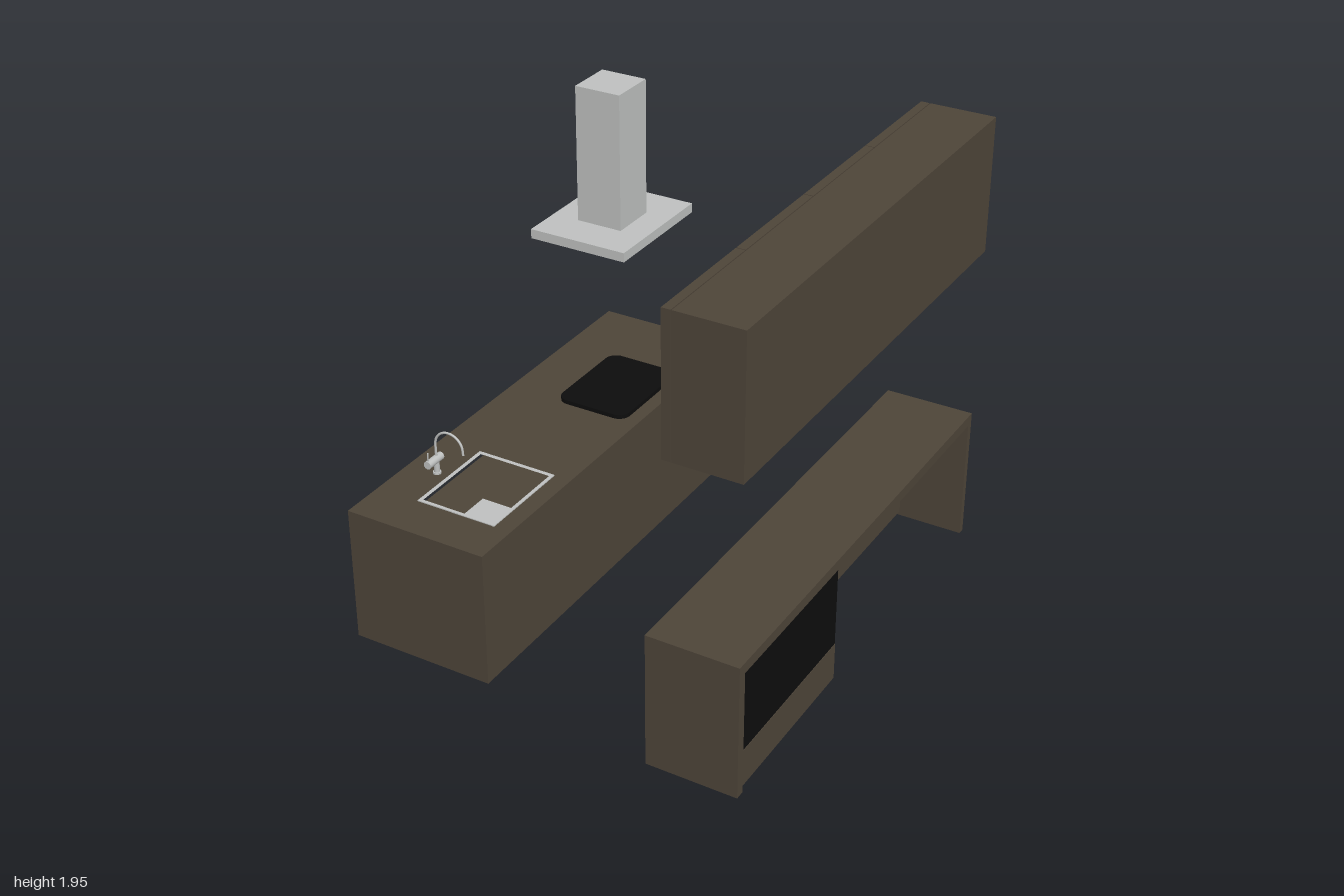
import * as THREE from 'three';

export function createModel() {
  const root = new THREE.Group();
  const flat = (name, color) => {
    const m = new THREE.MeshStandardMaterial({ color });
    m.name = name;
    return m;
  };
  const wood = flat('darkWood', 0x4e4539);
  const steel = flat('brushedSteel', 0xbfc1c0);
  const black = flat('blackGlass', 0x0d0d0d);
  const filter = flat('filterGrey', 0xa9abaa);

  const group = (name) => {
    const g = new THREE.Group();
    g.name = name;
    root.add(g);
    return g;
  };
  const add = (parent, name, geo, mat) => {
    const m = new THREE.Mesh(geo, mat);
    m.name = name;
    parent.add(m);
    return m;
  };
  // box given by its minimum and maximum on each axis
  const box = (parent, name, mat, x0, x1, y0, y1, z0, z1) => {
    const m = add(parent, name, new THREE.BoxGeometry(x1 - x0, y1 - y0, z1 - z0), mat);
    m.position.set((x0 + x1) / 2, (y0 + y1) / 2, (z0 + z1) / 2);
    return m;
  };
  // rectangle in plan (x, z), drawn so that it can be laid flat
  const rect = (P, x0, x1, z0, z1) => new P([[x0, -z0], [x1, -z0], [x1, -z1], [x0, -z1]]
    .map(([x, y]) => new THREE.Vector2(x, y)));
  // flat plan shape with a rectangular hole, thickened upward from y0 to y1
  const frame = (parent, name, mat, y0, y1, outer, inner) => {
    const s = rect(THREE.Shape, ...outer);
    s.holes.push(rect(THREE.Path, ...inner));
    const geo = new THREE.ExtrudeGeometry(s, { depth: y1 - y0, bevelEnabled: false });
    const m = add(parent, name, geo.rotateX(-Math.PI / 2), mat);
    m.position.y = y0;
    return m;
  };

  // Island with a cut-out for the sink
  const island = group('island');
  const basin = [-0.68, -0.345, 0.30, 0.70];
  box(island, 'islandBase', wood, -0.88, -0.26, 0, 0.36, -1, 0.9);
  frame(island, 'islandTop', wood, 0.36, 0.585, [-0.88, -0.26, -1, 0.9], basin);

  // Sink: rim, four walls and floor
  const sink = group('sink');
  const [bx0, bx1, bz0, bz1] = basin;
  frame(sink, 'sinkRim', steel, 0.585, 0.589, [-0.69, -0.335, 0.29, 0.71], [bx0 + 0.004, bx1 - 0.004, bz0 + 0.004, bz1 - 0.004]);
  frame(sink, 'sinkWalls', steel, 0.37, 0.586, basin, [bx0 + 0.004, bx1 - 0.004, bz0 + 0.004, bz1 - 0.004]);
  box(sink, 'sinkFloor', steel, bx0, bx1, 0.365, 0.372, bz0, bz1);

  // Tap: base, cross body, lever and curved spout
  const tap = group('tap');
  const tx = -0.745, tz = 0.505;
  const rod = (name, r, len, x, y, z, alongZ) => {
    const m = add(tap, name, new THREE.CylinderGeometry(r, r, len, 20), steel);
    m.position.set(x, y, z);
    if (alongZ) m.rotation.x = Math.PI / 2;
  };
  rod('tapFoot', 0.017, 0.008, tx, 0.589, tz);
  rod('tapBase', 0.012, 0.06, tx, 0.615, tz);
  rod('tapBody', 0.017, 0.09, tx, 0.65, 0.52, true);
  rod('tapLever', 0.003, 0.05, tx, 0.678, 0.558);
  const spout = [[tx, 0.655], [tx, 0.69]];
  for (let i = 0; i <= 10; i++) {
    const a = Math.PI * (1 - i / 10);
    spout.push([-0.68 + 0.065 * Math.cos(a), 0.72 + 0.065 * Math.sin(a)]);
  }
  spout.push([-0.614, 0.705]);
  const path = new THREE.CatmullRomCurve3(spout.map(([x, y]) => new THREE.Vector3(x, y, tz)));
  add(tap, 'tapSpout', new THREE.TubeGeometry(path, 48, 0.005, 10), steel);

  // Cooktop: rounded glass plate
  const hw = 0.163, hd = 0.22, r = 0.05;
  const plate = new THREE.Shape();
  [[1, 1, 0], [-1, 1, 1], [-1, -1, 2], [1, -1, 3]].forEach(([sx, sy, q]) =>
    plate.absarc(sx * (hw - r), sy * (hd - r), r, q * Math.PI / 2, (q + 1) * Math.PI / 2));
  const hob = add(root, 'cooktop', new THREE.ExtrudeGeometry(plate,
    { depth: 0.019, bevelEnabled: false, curveSegments: 8 }).rotateX(-Math.PI / 2), black);
  hob.position.set(-0.482, 0.584, -0.425);

  // Extractor hood with a recessed filter
  const hood = group('extractorHood');
  box(hood, 'hoodChimney', steel, -0.6, -0.4, 1.37, 1.95, -0.53, -0.33);
  box(hood, 'hoodPlate', steel, -0.717, -0.285, 1.345, 1.375, -0.7, -0.165);
  frame(hood, 'hoodRim', steel, 1.335, 1.345, [-0.717, -0.285, -0.7, -0.165], [-0.69, -0.312, -0.673, -0.192]);
  box(hood, 'hoodFilter', filter, -0.68, -0.322, 1.339, 1.346, -0.663, -0.202);

  // Wall cabinet with four doors
  const wall = group('wallCabinet');
  box(wall, 'wallCabinetBody', wood, 0.607, 0.88, 1.32, 1.89, -1, 1);
  box(wall, 'doorBacking', wood, 0.60, 0.61, 1.325, 1.885, -0.995, 0.995);
  for (let i = 0; i < 4; i++) {
    const z = -1 + i * 0.5;
    box(wall, 'wallDoor', wood, 0.567, 0.603, 1.32, 1.89, z + (i ? 0.002 : 0), z + (i < 3 ? 0.498 : 0.5));
  }

  // Counter along the wall, open at the back
  const counter = group('wallCounter');
  box(counter, 'counterTop', wood, 0.5, 0.88, 0.53, 0.575, -1, 1);
  box(counter, 'endPanel', wood, 0.5, 0.88, 0, 0.53, 0.96, 1);
  box(counter, 'endPanel', wood, 0.5, 0.88, 0, 0.53, -1, -0.97);

  // Drawers
  const front = (name, y0, y1, z0, z1) =>
    box(counter, name, wood, 0.495, 0.6, y0, y1, z0 + 0.002, z1 - 0.002);
  front('upperDrawer', 0.34, 0.528, -0.97, -0.375);
  front('upperDrawer', 0.34, 0.528, -0.375, 0.22);
  front('lowerDrawer', 0.02, 0.336, -0.97, 0.22);

  // Oven over a hollow base, open from below
  box(counter, 'oven', black, 0.495, 0.873, 0.18, 0.529, 0.222, 0.959);
  box(counter, 'ovenShelf', wood, 0.5, 0.873, 0.165, 0.18, 0.222, 0.96);
  box(counter, 'ovenBaseFront', wood, 0.495, 0.515, 0.02, 0.178, 0.222, 0.96);
  box(counter, 'ovenBaseBack', wood, 0.86, 0.875, 0.02, 0.18, 0.222, 0.96);
  box(counter, 'ovenBaseSide', wood, 0.515, 0.86, 0.02, 0.165, 0.222, 0.237);

  // Bar handles on two posts
  [['drawerHandle', 0.475, 0.475, -0.76, -0.585], ['drawerHandle', 0.475, 0.475, -0.16, 0.01],
    ['drawerHandle', 0.48, 0.285, -0.535, -0.215], ['ovenHandle', 0.48, 0.495, 0.385, 0.82],
  ].forEach(([name, x, y, z0, z1]) => {
    box(counter, name, steel, x, x + 0.008, y - 0.012, y + 0.012, z0, z1);
    for (const z of [z0 + 0.02, z1 - 0.03])
      box(counter, 'handlePost', steel, x + 0.008, 0.496, y - 0.005, y + 0.005, z, z + 0.01);
  });

  return root;
}
